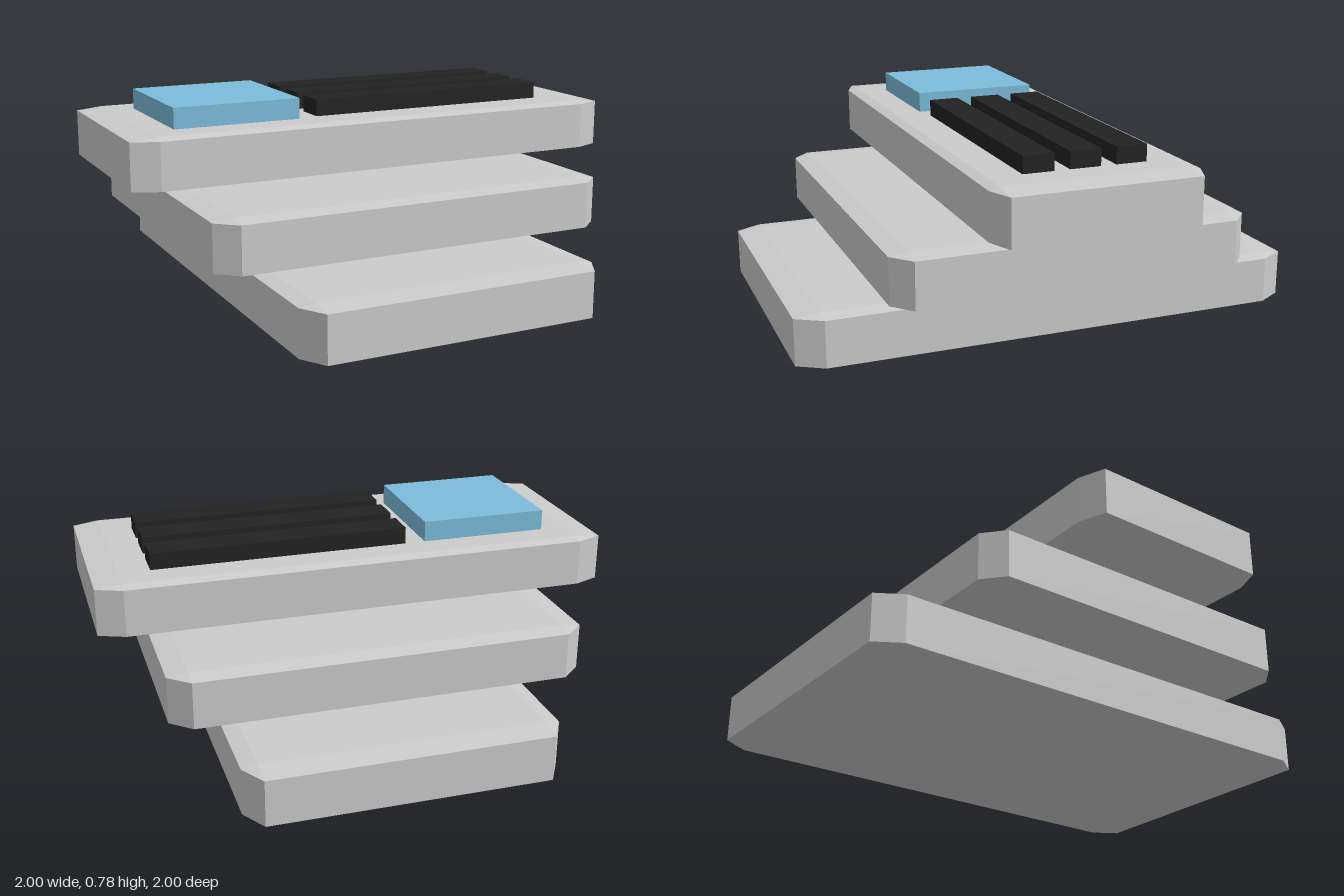
import * as THREE from 'three';
import { ConvexGeometry } from 'three/addons/geometries/ConvexGeometry.js';

const grey = new THREE.MeshStandardMaterial({ color: 0xcccccc, flatShading: true });
const blue = new THREE.MeshStandardMaterial({ color: 0x7cbddc });
const black = new THREE.MeshStandardMaterial({ color: 0x222222 });

// Unit cube with every edge cut back by 10 percent of its half size
function chamferedCube() {
  const points = [];
  const inset = 0.9;
  for (const x of [-1, 1]) for (const y of [-1, 1]) for (const z of [-1, 1]) {
    points.push(
      new THREE.Vector3(x, y * inset, z * inset),
      new THREE.Vector3(x * inset, y, z * inset),
      new THREE.Vector3(x * inset, y * inset, z)
    );
  }
  return new ConvexGeometry(points);
}

export function createModel() {
  const model = new THREE.Group();
  const add = (name, geometry, material, x, y, z) => {
    const mesh = new THREE.Mesh(geometry, material);
    mesh.name = name;
    mesh.position.set(x, y, z);
    model.add(mesh);
  };

  // Three stacked slabs: name, half width, half depth, centre height
  const slabs = [
    ['bottomSlab', 0.6, 1, 0.1],
    ['middleSlab', 0.8, 0.7, 0.35],
    ['topSlab', 1, 0.4, 0.6],
  ];
  for (const [name, halfX, halfZ, y] of slabs) {
    const geometry = chamferedCube().scale(halfX, 0.1, halfZ);
    geometry.computeVertexNormals();
    add(name, geometry, grey, 0, y, 0);
  }

  // Square panel on the top slab
  add('panel', new THREE.BoxGeometry(0.5, 0.08, 0.5), blue, -0.55, 0.74, 0);

  // Three parallel bars beside it
  for (let i = 0; i < 3; i++) {
    add('bar' + (i + 1), new THREE.BoxGeometry(1, 0.065, 0.12), black, 0.28, 0.7325, -0.19 + i * 0.18);
  }

  return model;
}
